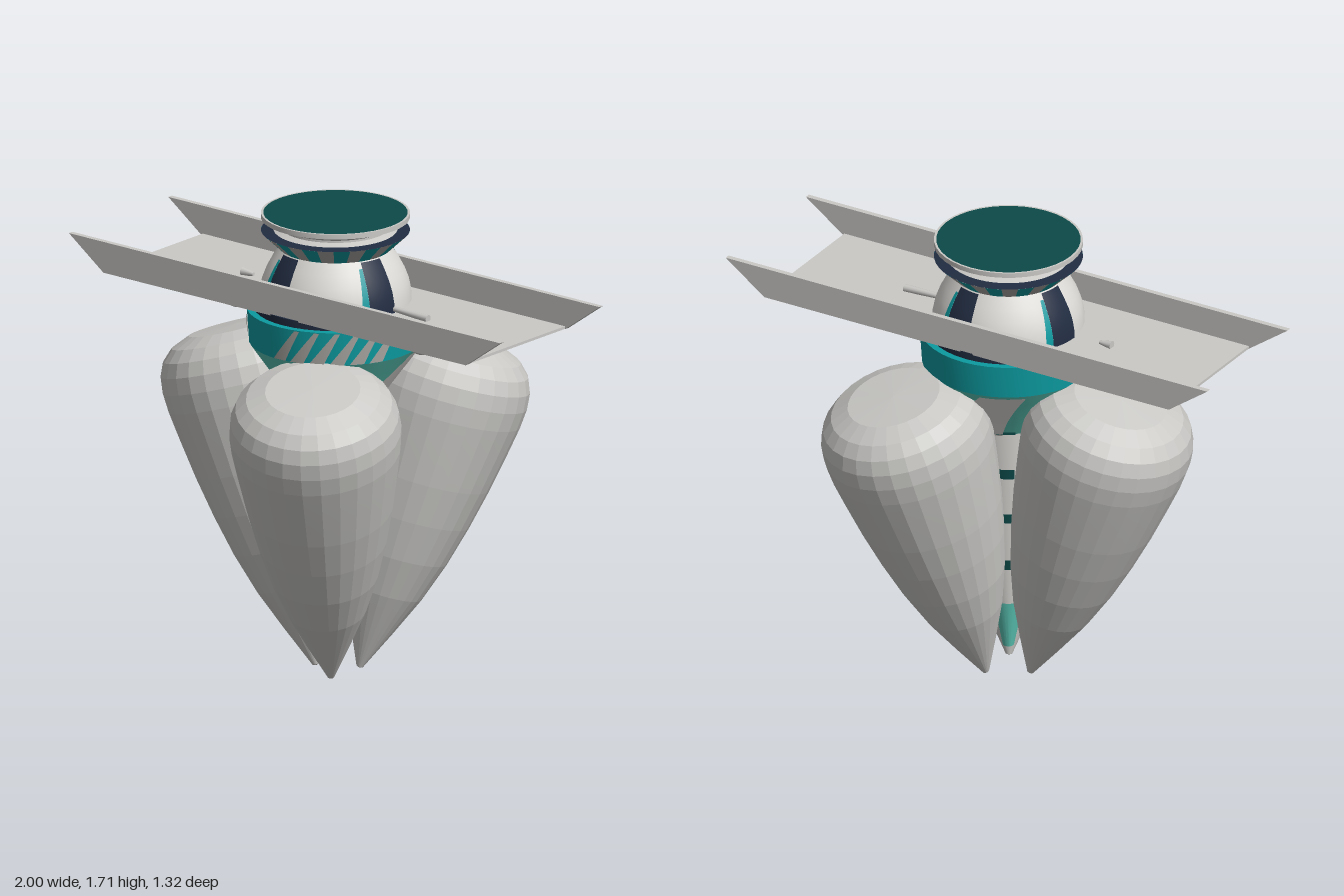
import * as THREE from 'three';
import { toCreasedNormals } from 'three/addons/utils/BufferGeometryUtils.js';

const mat = (name, color) => {
  const m = new THREE.MeshStandardMaterial({ color, side: THREE.DoubleSide });
  m.name = name;
  return m;
};

export function createModel() {
  const model = new THREE.Group();
  const grey = mat('shell grey', 0xcac9c6);
  const white = mat('dome white', 0xdedcd8);
  const teal = mat('teal', 0x0c9ba0);
  const aqua = mat('light turquoise', 0x5cc6b6);
  const deep = mat('deep teal', 0x0d4a4a);
  const navy = mat('navy', 0x222d42);
  const stripeGrey = mat('stripe grey', 0xa9a7a2);

  const add = (name, geo, material, parent = model) => {
    const m = new THREE.Mesh(geo, material);
    m.name = name;
    parent.add(m);
    return m;
  };
  const lathe = (profile, seg = 40, start = 0, len = Math.PI * 2, crease = 0.5) => toCreasedNormals(
    new THREE.LatheGeometry(profile.map(([r, y]) => new THREE.Vector2(r, y)), seg, start, len), crease);

  // Radius of a profile at a height
  const radiusAt = (profile, y) => {
    for (let i = 1; i < profile.length; i++) {
      const [r0, y0] = profile[i - 1], [r1, y1] = profile[i];
      if (y <= y1) return r0 + (r1 - r0) * (y - y0) / (y1 - y0);
    }
    return profile[profile.length - 1][0];
  };
  // Thin painted panel hugging a profile; left and right edges are angles at bottom and top
  const panel = (profile, y0, y1, left, right, lift = 0.004) => {
    const nu = 8, nv = 10, pos = [], idx = [];
    for (let j = 0; j <= nv; j++) {
      const t = j / nv, y = y0 + (y1 - y0) * t, r = radiusAt(profile, y) + lift;
      for (let i = 0; i <= nu; i++) {
        const a0 = left[0] + (left[1] - left[0]) * t, a1 = right[0] + (right[1] - right[0]) * t;
        const a = a0 + (a1 - a0) * i / nu;
        pos.push(r * Math.sin(a), y, r * Math.cos(a));
        if (i < nu && j < nv) {
          const k = j * (nu + 1) + i;
          idx.push(k, k + 1, k + nu + 1, k + 1, k + nu + 2, k + nu + 1);
        }
      }
    }
    const g = new THREE.BufferGeometry();
    g.setAttribute('position', new THREE.Float32BufferAttribute(pos, 3));
    g.setIndex(idx);
    g.computeVertexNormals();
    return g;
  };

  // Three faceted teardrop pods leaning outward
  const podProfile = [[0, 0], [0.012, 0.005], [0.078, 0.15], [0.143, 0.3], [0.193, 0.45], [0.231, 0.6], [0.262, 0.75],
    [0.287, 0.9], [0.302, 1.0], [0.307, 1.07], [0.301, 1.13], [0.28, 1.18], [0.24, 1.22], [0.17, 1.25], [0, 1.256]];
  const podGeo = lathe(podProfile, 28, 0, Math.PI * 2, 0.02);
  [Math.PI / 3, Math.PI, -Math.PI / 3].forEach((turn) => {
    const arm = new THREE.Group();
    arm.name = 'podMount';
    arm.rotation.y = turn;
    const pod = add('pod', podGeo, grey, arm);
    pod.position.x = 0.09;
    pod.rotation.z = -THREE.MathUtils.degToRad(17.5);
    model.add(arm);
  });

  // Central column with a turquoise tip and broken dark bands
  const column = [[0.058, 0.28], [0.1, 0.55], [0.145, 0.9], [0.17, 1.1]];
  add('columnTip', lathe([[0, 0.09], [0.02, 0.09], [0.058, 0.28]], 24), aqua);
  add('column', lathe(column, 32), white);
  [0.43, 0.63, 0.82, 1.01].forEach((y) => {
    for (let i = 0; i < 8; i++) {
      const a = i * Math.PI / 4 + 0.1;
      add('columnBand', panel(column, y, y + 0.04, [a, a], [a + 0.6, a + 0.6]), deep);
    }
  });

  // Funnel with swirled pale petals
  const funnel = [[0.14, 0.98], [0.2, 1.08], [0.27, 1.18], [0.308, 1.235]];
  add('funnel', lathe(funnel), aqua);
  for (let i = 0; i < 4; i++) {
    const a = i * Math.PI / 2;
    add('funnelPetal', panel(funnel, 1.0, 1.225, [a - 0.5, a + 0.2], [a + 0.4, a + 0.75]), white);
  }

  // Teal collar band with slanted stripes on one quarter
  const band = [[0.308, 1.235], [0.316, 1.358]];
  add('collarBand', lathe([...band, [0.28, 1.358]]), teal);
  for (let i = 0; i < 6; i++) {
    const a = i * 0.235 - 0.08;
    add('collarStripe', panel(band, 1.237, 1.356, [a, a + 0.3], [a + 0.17, a + 0.36]), stripeGrey);
  }
  add('collarMark', panel(band, 1.27, 1.34, [-0.8, -0.8], [-0.75, -0.73]), stripeGrey);
  add('navyRing', lathe([[0.28, 1.357], [0.29, 1.357], [0.29, 1.385], [0.27, 1.385]]), navy);

  // Domed cabin with navy panels and teal edging
  const dome = [[0.272, 1.383], [0.27, 1.42], [0.262, 1.46], [0.247, 1.5], [0.226, 1.54], [0.198, 1.585]];
  add('dome', lathe(dome), white);
  for (let i = 0; i < 4; i++) {
    const a = i * Math.PI / 2;
    add('domePanel', panel(dome, 1.385, 1.58, [a - 0.4, a - 0.42], [a, a]), navy);
    add('domeEdging', panel(dome, 1.385, 1.56, [a - 0.52, a - 0.48], [a - 0.4, a - 0.42]), teal);
  }

  // Flared striped collar above the dome
  const flare = [[0.197, 1.58], [0.265, 1.645]];
  const wedge = Math.PI / 14;
  for (let i = 0; i < 28; i++) {
    add('flareStripe', lathe(flare, 2, i * wedge, wedge), i % 2 ? teal : stripeGrey);
  }
  add('flareTop', lathe([[0.265, 1.645], [0.18, 1.65]]), navy);

  // Dish with a dark top
  add('dish', lathe([[0.225, 1.646], [0.195, 1.657], [0.195, 1.665], [0.215, 1.68], [0.265, 1.692], [0.265, 1.71], [0.257, 1.71]]), grey);
  const lid = add('dishLid', new THREE.CircleGeometry(0.26, 48), deep);
  lid.rotation.x = -Math.PI / 2;
  lid.position.y = 1.709;

  // Wing: flat floor between two trapezoid side plates
  add('wingFloor', new THREE.BoxGeometry(1.68, 0.01, 0.54), grey).position.y = 1.386;
  const side = new THREE.Shape([[-0.84, 1.38], [0.84, 1.38], [1, 1.495], [-1, 1.495]].map(([x, y]) => new THREE.Vector2(x, y)));
  const sideGeo = new THREE.ExtrudeGeometry(side, { depth: 0.02, bevelEnabled: false });
  [-0.288, 0.262].forEach((z) => { add('wingSide', sideGeo, grey).position.z = z; });

  // Ball lamps on short arms below the wing
  const rod = (name, x0, y0, x1, y1, r0, r1) => {
    const d = new THREE.Vector3(x1 - x0, y1 - y0, 0);
    const m = add(name, new THREE.CylinderGeometry(r1, r0, d.length(), 12), grey);
    m.position.set((x0 + x1) / 2, (y0 + y1) / 2, 0);
    m.quaternion.setFromUnitVectors(new THREE.Vector3(0, 1, 0), d.normalize());
  };
  [[-0.45, 1.325, 0.06], [-0.33, 1.3, 0.045], [0.405, 1.32, 0.058]].forEach(([x, y, r]) => {
    add('ballLamp', new THREE.SphereGeometry(r, 24, 16), grey).position.set(x, y, 0);
  });
  rod('lampArm', -0.28, 1.355, -0.42, 1.37, 0.01, 0.014);
  rod('lampArm', 0.28, 1.35, 0.38, 1.355, 0.01, 0.014);

  // Small probes above the wing floor
  rod('probe', 0.26, 1.405, 0.43, 1.4, 0.009, 0.014);
  rod('probe', -0.38, 1.4, -0.43, 1.4, 0.007, 0.016);
  return model;
}
